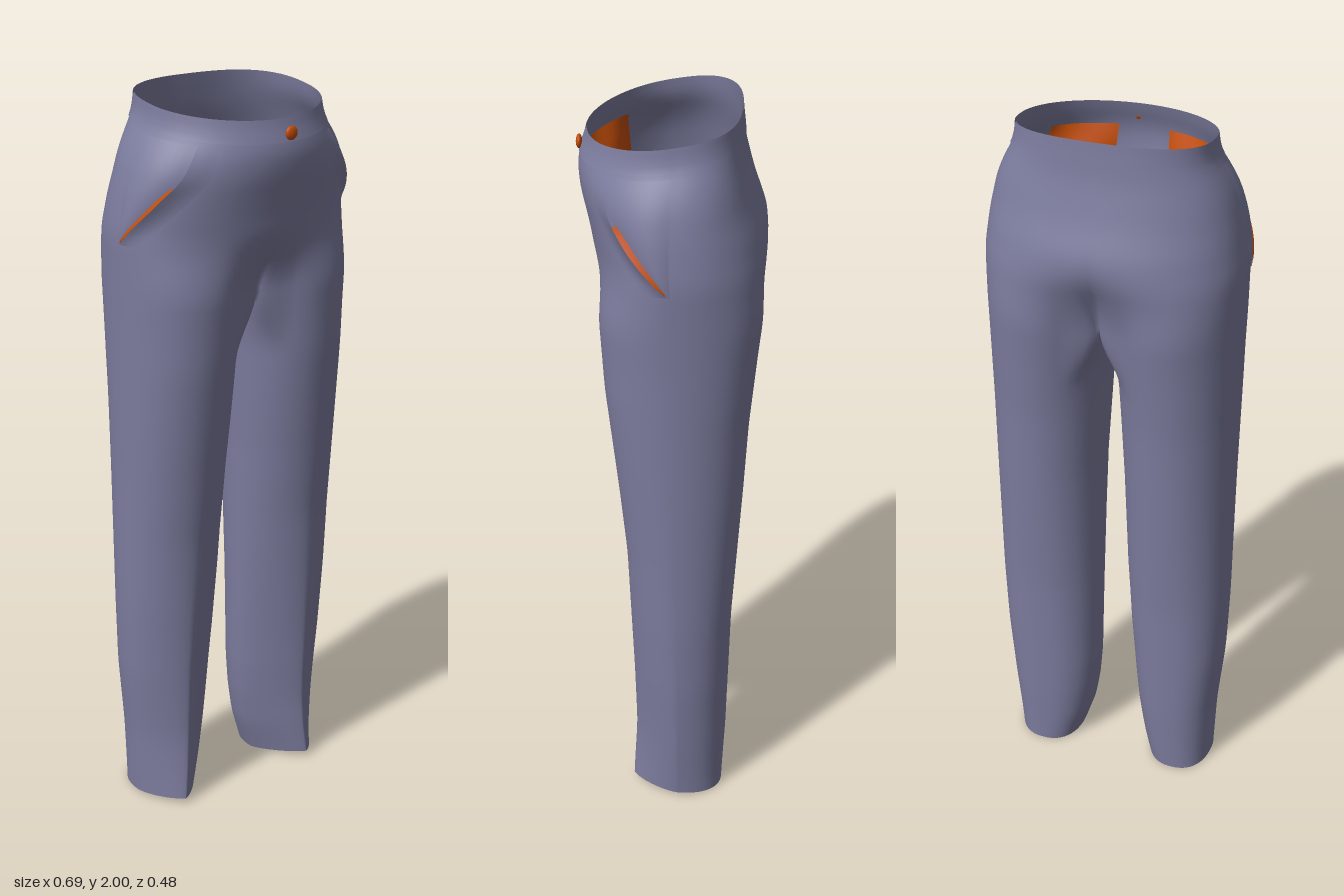
import * as THREE from 'three';
import { mergeGeometries, mergeVertices } from 'three/addons/utils/BufferGeometryUtils.js';

const lerp = THREE.MathUtils.lerp, smooth = THREE.MathUtils.smoothstep;
const CROTCH = 1.47;
const RING = 1 + 80 / 280; // outer arc is 0..1, inner thigh is 1..RING

// Profiles as [height, value] pairs
const OUTER = {
  1: [[0, .285], [.2, .305], [.4, .322], [.6, .33], [1, .333], [1.4, .335], [1.65, .339], [1.75, .324], [1.84, .304], [1.9, .28], [1.95, .253], [2, .246]],
  [-1]: [[0, .308], [.2, .315], [.4, .333], [.6, .338], [1, .337], [1.4, .34], [1.65, .344], [1.75, .326], [1.84, .304], [1.9, .28], [1.95, .253], [2, .246]],
};
const INNER = {
  1: [[0, .095], [.04, .083], [.1, .065], [.2, .05], [.3, .042], [.7, .035], [1, .03], [1.3, .015], [CROTCH, 0]],
  [-1]: [[0, .122], [.04, .112], [.1, .1], [.2, .085], [.3, .075], [.5, .058], [.7, .046], [1, .035], [1.3, .019], [CROTCH, 0]],
};
const FRONT = [[0, .115], [.2, .105], [.4, .11], [.6, .118], [.8, .126], [1, .145], [1.3, .178], [1.5, .19], [1.6, .2], [1.7, .216], [1.8, .238], [1.88, .243], [1.94, .238], [2, .216]];
const BACK = [[0, -.14], [.2, -.15], [.6, -.16], [1, -.185], [1.2, -.196], [1.4, -.215], [1.5, -.226], [1.65, -.245], [1.72, -.234], [1.8, -.204], [1.9, -.177], [2, -.165]];
const MIDDLE = [[0, -.015], [1.4, -.005], [1.7, .01], [2, .005]];

function at(table, y) {
  if (y <= table[0][0]) return table[0][1];
  for (let i = 1; i < table.length; i++) {
    const [y1, b] = table[i], [y0, a] = table[i - 1];
    if (y <= y1) return lerp(a, b, (y - y0) / (y1 - y0));
  }
  return table[table.length - 1][1];
}
const soft = (table, y) => (at(table, y - .025) + 2 * at(table, y) + at(table, y + .025)) / 4;
const power = (v, n) => Math.sign(v) * Math.abs(v) ** (2 / n);

// Point on the cloth: s runs front centre (0), side (.5), back centre (1), inner thigh (>1)
function cloth(side, s, v, offset = 0) {
  const xo = soft(OUTER[side], v), xi = at(INNER[side], v), zc = at(MIDDLE, v);
  const zf = soft(FRONT, v) - zc, zb = zc - soft(BACK, v);

  // Leg ring: creased in front and fuller behind towards the hem, flattened at the crotch
  const a = THREE.MathUtils.degToRad(40 + 280 * s), sin = Math.sin(a);
  const round = smooth(v, 0, 1.3);
  const n = sin > 0 ? lerp(1.32, 2.05, round) : lerp(2.35, 2.05, round);
  const depth = power(sin, n);
  let x = (xo + xi) / 2 - (xo - xi) / 2 * power(Math.cos(a), n) + .015 * (1 - round) * Math.max(0, depth);
  let z = zc + depth * (sin > 0 ? zf : zb);
  const edge = s > 1 ? 0 : Math.min(s, 1 - s);
  x = lerp(x, xi, smooth(v, 1.3, CROTCH) * (1 - smooth(edge, 0, .08)));

  // Blend into the hip oval, later at the seat than in front
  const w = smooth(v, CROTCH, lerp(1.66, 1.72, s));
  if (w > 0) {
    const m = s < .5 ? 2 : lerp(2.4, 2.7, smooth(v, 1.75, 2)), c = power(Math.cos(Math.PI * s), m);
    x = lerp(x, xo * power(Math.max(0, Math.sin(Math.PI * s)), m), w);
    z = lerp(z, zc + c * (c > 0 ? zf : zb), w);
    if (s === 0 || s === 1) x = 0;
  }

  // Waist dips to the front, hem lifts a little there
  const y = v - smooth(v, 1.75, 2) * .06 * (z + .165) / .38 + (1 - smooth(v, 0, .2)) * (z + .14) * .06;
  const r = Math.hypot(x, z) || 1;
  return [side * x * (1 + offset / r), y, z * (1 + offset / r)];
}

// Grid of quads; side -1 flips the winding of the mirrored half
function sheet(nu, nv, side, point) {
  const pos = [], index = [];
  for (let j = 0; j <= nv; j++) for (let i = 0; i <= nu; i++) pos.push(...point(i / nu, j / nv));
  for (let j = 0; j < nv; j++) for (let i = 0; i < nu; i++) {
    const a = j * (nu + 1) + i, b = a + 1, c = b + nu + 1, d = a + nu + 1;
    index.push(...(side > 0 ? [a, b, c, a, c, d] : [a, c, b, a, d, c]));
  }
  const g = new THREE.BufferGeometry();
  g.setAttribute('position', new THREE.Float32BufferAttribute(pos, 3));
  g.setIndex(index);
  return g;
}
function sew(parts) {
  const g = mergeVertices(mergeGeometries(parts), 1e-4);
  g.computeVertexNormals();
  return g;
}

export function createModel() {
  const group = new THREE.Group();
  const fabric = new THREE.MeshStandardMaterial({ color: 0x7c7c9e, side: THREE.DoubleSide });
  fabric.name = 'greyBlueFabric';
  const orange = new THREE.MeshStandardMaterial({ color: 0xc04c08, side: THREE.DoubleSide });
  orange.name = 'orangeLining';
  const add = (name, geometry, material) => {
    const mesh = new THREE.Mesh(geometry, material);
    mesh.name = name;
    group.add(mesh);
    return mesh;
  };
  const sides = [1, -1];

  // Legs and hips sewn into one smooth cloth
  const body = [];
  for (const side of sides) {
    body.push(sheet(72, 50, side, (u, v) => cloth(side, u * RING, v * CROTCH)));
    body.push(sheet(56, 28, side, (u, v) => cloth(side, u, lerp(CROTCH, 2, v))));
  }
  add('trouserBody', sew(body), fabric);

  // Waistband: thin strip hugging the top edge
  add('waistband', sew(sides.map(side => sheet(56, 6, side, (u, v) =>
    cloth(side, u, lerp(1.938, 2, v), .003)))), fabric);

  // Slanted pockets: side panel, gaping lip with orange inside, lining bag behind the front
  const opening = new THREE.CatmullRomCurve3([[.49, 1.63], [.41, 1.685], [.335, 1.75], [.285, 1.82], [.275, 1.925]]
    .map(([s, y]) => new THREE.Vector3(s, y, 0)));
  for (const side of sides) {
    const label = side > 0 ? 'left' : 'right';
    const gape = v => .002 + .016 * Math.sin(Math.PI * v);
    add(label + 'PocketPanel', sew([sheet(10, 16, side, (u, v) => {
      const p = opening.getPoint(v);
      return cloth(side, lerp(p.x, .5, u), p.y, .002 + .008 * Math.sin(Math.PI * v) * Math.sin(Math.PI * u));
    })]), fabric);
    add(label + 'PocketLip', sew([sheet(5, 24, side, (u, v) => {
      const p = opening.getPoint(v);
      return cloth(side, p.x - .08 * (1 - u), p.y, gape(v) * u * u);
    })]), fabric);
    add(label + 'PocketOpening', sew([sheet(3, 24, side, (u, v) => {
      const t = lerp(.03, .64, v), p = opening.getPoint(t);
      const width = .025 * Math.sin(Math.PI * (.1 + .75 * v));
      return cloth(side, p.x + u * width, p.y, lerp(gape(t), .005, u));
    })]), orange);
    add(label + 'PocketBag', sew([sheet(16, 10, side, (u, v) =>
      cloth(side, lerp(.085, .32, u), lerp(1.66, 1.925, v),
        -.01 - .05 * Math.sin(Math.PI * v) * Math.sin(Math.PI * (.15 + .8 * u))))]), orange);
  }

  // Waist button
  const button = add('button', new THREE.SphereGeometry(.018, 20, 12), orange);
  button.scale.z = .45;
  button.position.set(.022, 1.905, .238);
  return group;
}
